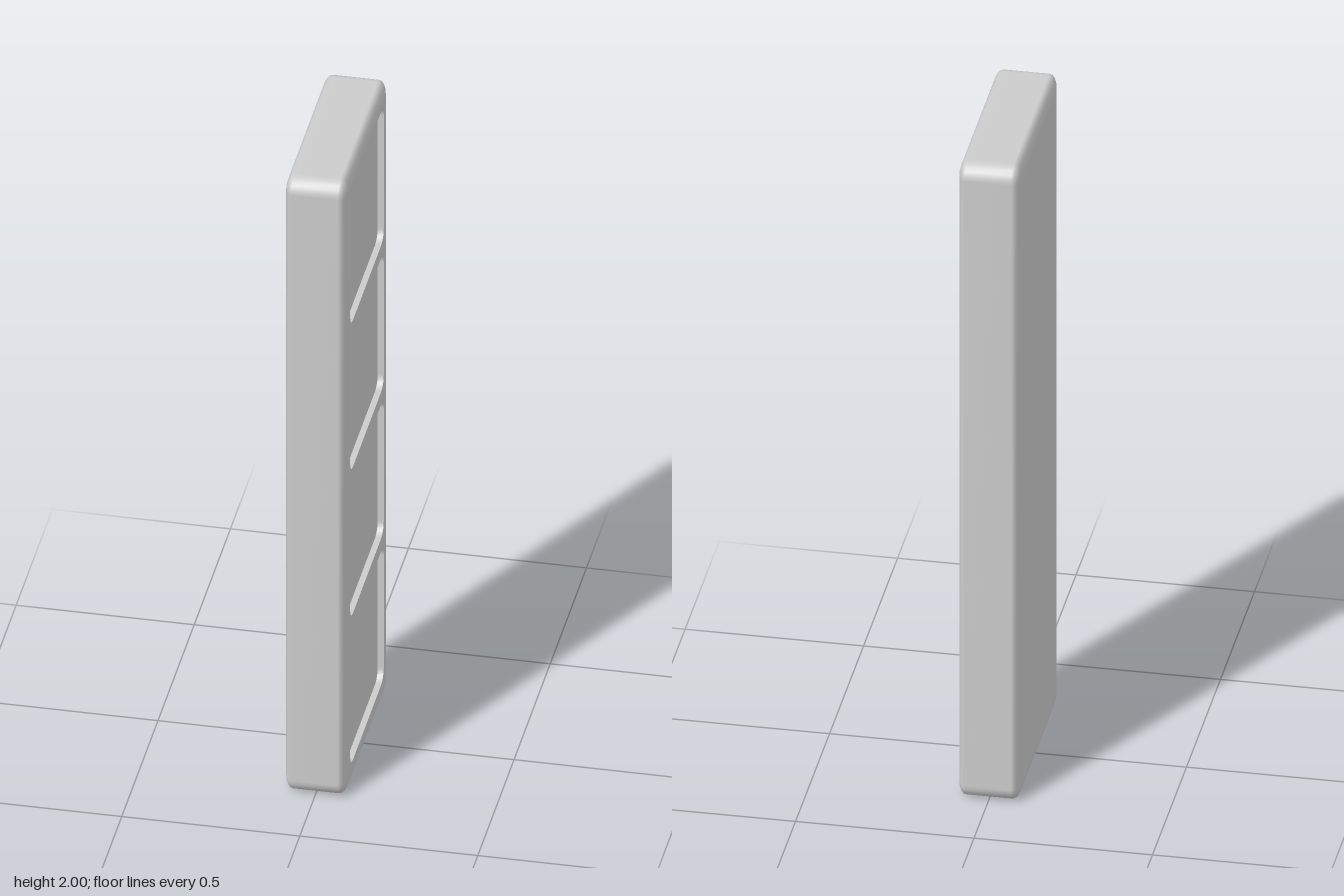
import * as THREE from 'three';

const H = 1, W = 0.296, D = 0.087;        // half height, half width, half thickness
const BEVEL = 0.045, BEVEL_DEPTH = 0.022; // edge rounding across and through the slab
const RECESS = 0.017, PANEL_W = 0.232, PANEL_H = 0.2185, PANEL_R = 0.035, PITCH = 0.4785;

// Counter-clockwise rounded rectangle: half sizes of the straight core plus radius r
function ring(coreW, coreH, r, cy = 0, seg = 5) {
  const pts = [];
  [[1, 1], [-1, 1], [-1, -1], [1, -1]].forEach(([sx, sy], q) => {
    for (let i = 0; i <= seg; i++) {
      const a = (q + i / seg) * Math.PI / 2;
      pts.push(new THREE.Vector2(sx * coreW + r * Math.cos(a), cy + sy * coreH + r * Math.sin(a)));
    }
  });
  return pts;
}

// Skin through a list of { pts, z } rings
function loft(rings) {
  const pos = [], idx = [], n = rings[0].pts.length;
  rings.forEach(({ pts, z }) => pts.forEach(p => pos.push(p.x, p.y, z)));
  for (let i = 0; i < rings.length - 1; i++) {
    for (let j = 0; j < n; j++) {
      const a = i * n + j, b = i * n + (j + 1) % n;
      idx.push(a, b, a + n, b, b + n, a + n);
    }
  }
  const g = new THREE.BufferGeometry();
  g.setAttribute('position', new THREE.Float32BufferAttribute(pos, 3));
  g.setIndex(idx);
  g.computeVertexNormals();
  return g;
}

export function createModel() {
  const material = new THREE.MeshStandardMaterial({ color: 0xcccccc });
  const slab = new THREE.Group();
  slab.name = 'slab';
  const add = (name, geometry, parent = slab) => {
    const mesh = new THREE.Mesh(geometry, material);
    mesh.name = name;
    parent.add(mesh);
    return mesh;
  };
  const coreW = W - BEVEL, coreH = H - BEVEL;

  // Rounded rim: quarter ellipse at the back, straight side, quarter ellipse at the face
  const rings = [], steps = 5;
  for (const side of [-1, 1]) {
    for (let i = 0; i <= steps; i++) {
      const a = (side < 0 ? i : steps - i) / steps * Math.PI / 2;
      rings.push({
        pts: ring(coreW, coreH, Math.max(BEVEL * Math.sin(a), 0.0005)),
        z: side * (D - BEVEL_DEPTH + BEVEL_DEPTH * Math.cos(a)),
      });
    }
  }
  add('rim', loft(rings));

  // Plain back
  add('back', new THREE.ShapeGeometry(new THREE.Shape(ring(coreW, coreH, 0.0005))).rotateY(Math.PI).translate(0, 0, -D));

  // Panelled face with four shallow recesses
  const face = new THREE.Shape(ring(coreW, coreH, 0.0005));
  for (let i = 0; i < 4; i++) {
    const pts = ring(PANEL_W - PANEL_R, PANEL_H - PANEL_R, PANEL_R, 0.005 + (i - 1.5) * PITCH);
    face.holes.push(new THREE.Path(pts));
    const panel = new THREE.Group();
    panel.name = 'panel' + (i + 1);
    add('panelWall', loft([{ pts, z: D }, { pts, z: D - RECESS }]), panel);
    add('panelFloor', new THREE.ShapeGeometry(new THREE.Shape(pts)).translate(0, 0, D - RECESS), panel);
    slab.add(panel);
  }
  add('face', new THREE.ShapeGeometry(face).translate(0, 0, D));

  // Stand upright with the panelled face towards +x
  slab.rotation.y = Math.PI / 2;
  slab.position.y = H;
  const model = new THREE.Group();
  model.name = 'panelledSlab';
  model.add(slab);
  return model;
}
